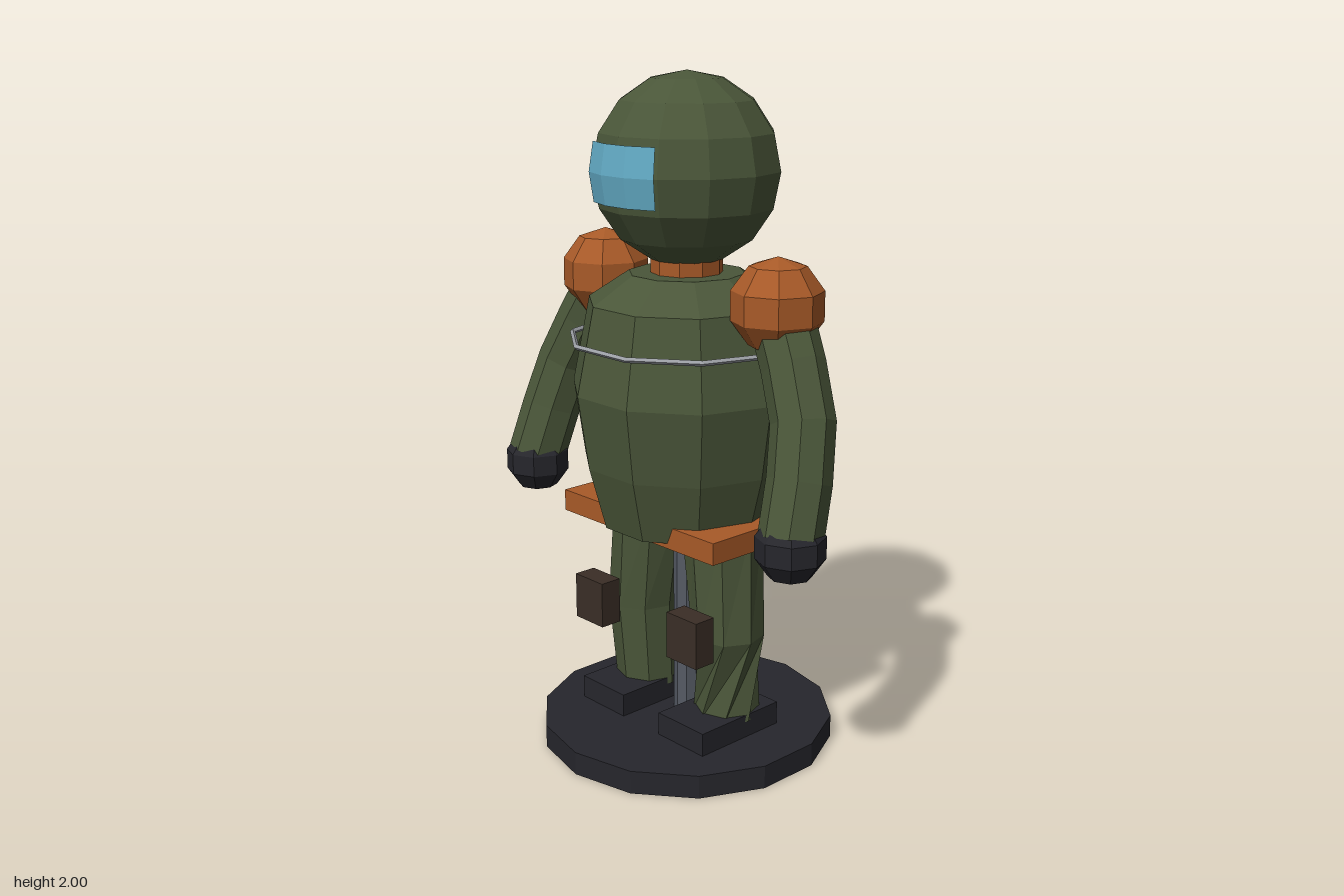
import * as THREE from 'three';

const paint = (color) => new THREE.MeshStandardMaterial({ color, flatShading: true });

export function createModel() {
  const model = new THREE.Group();
  const green = paint(0x4a5639);
  const orange = paint(0xa85a28);
  const dark = paint(0x26262c);
  const steel = paint(0x555a64);
  const silver = paint(0x9a9da3);
  const brown = paint(0x3a2e26);
  const blue = paint(0x62aac4);
  blue.side = THREE.DoubleSide;

  const add = (name, geometry, material, x = 0, y = 0, z = 0) => {
    const mesh = new THREE.Mesh(geometry, material);
    mesh.name = name;
    mesh.position.set(x, y, z);
    model.add(mesh);
    return mesh;
  };

  // Display stand
  add('standBase', new THREE.CylinderGeometry(0.445, 0.445, 0.07, 14), dark, 0, 0.035, 0);
  add('standPole', new THREE.CylinderGeometry(0.04, 0.04, 0.68, 8), steel, 0, 0.41, 0);

  // Ten-sided torso, closed at both ends
  const profile = [[0, 0.695], [0.26, 0.695], [0.31, 0.88], [0.342, 1.1],
    [0.29, 1.355], [0.17, 1.435], [0, 1.435]].map(([r, y]) => new THREE.Vector2(r, y));
  add('torso', new THREE.LatheGeometry(profile, 10, Math.PI / 10), green);
  add('belt', new THREE.BoxGeometry(0.65, 0.065, 0.41), orange, 0, 0.712, 0);
  add('chestRing', new THREE.TorusGeometry(0.342, 0.008, 4, 10).rotateX(Math.PI / 2), silver, 0, 1.245, 0);

  // Neck, helmet and curved visor
  add('neck', new THREE.CylinderGeometry(0.105, 0.105, 0.12, 10), orange, 0, 1.44, 0);
  add('helmet', new THREE.SphereGeometry(0.273, 12, 8), green, 0, 1.727, 0);
  const sweep = 0.5, rise = 0.305;
  add('visor', new THREE.SphereGeometry(0.281, 2, 2, Math.PI / 2 - sweep, 2 * sweep,
    Math.PI / 2 - rise, 2 * rise), blue, 0, 1.727, 0);

  // Leg rings from hip to ankle: centre x, y, z, radius, twist
  const legRings = [[0.15, 0.72, 0, 0.12, 0], [0.188, 0.38, 0.01, 0.108, 0.1], [0.175, 0.12, 0, 0.1, 0.85]];
  const makeLeg = (side) => {
    const geometry = new THREE.CylinderGeometry(1, 1, 2, 8, 2);
    const p = geometry.attributes.position;
    for (let i = 0; i < p.count; i++) {
      const [cx, cy, cz, r, twist] = legRings[Math.round(1 - p.getY(i))];
      const len = Math.hypot(p.getX(i), p.getZ(i)) * r;
      const a = Math.atan2(p.getZ(i), p.getX(i)) + side * twist;
      p.setXYZ(i, side * cx + len * Math.cos(a), cy, cz + len * Math.sin(a));
    }
    geometry.computeVertexNormals();
    return geometry;
  };

  // Limbs, mirrored
  for (const [label, s] of [['left', 1], ['right', -1]]) {
    add(label + 'Shoulder', new THREE.SphereGeometry(0.135, 8, 5), orange, s * 0.36, 1.388, 0);
    const path = new THREE.CatmullRomCurve3([
      new THREE.Vector3(s * 0.36, 1.37, -0.01),
      new THREE.Vector3(s * 0.505, 1.09, 0.045),
      new THREE.Vector3(s * 0.55, 0.8, 0.135),
    ]);
    add(label + 'Arm', new THREE.TubeGeometry(path, 4, 0.09, 8), green);
    add(label + 'Hand', new THREE.SphereGeometry(0.102, 8, 5), dark, s * 0.55, 0.778, 0.135);

    add(label + 'Leg', makeLeg(s), green);
    add(label + 'Boot', new THREE.BoxGeometry(0.19, 0.07, 0.31), dark, s * 0.175, 0.105, 0.035);
    add(label + 'Pouch', new THREE.BoxGeometry(0.123, 0.14, 0.07), brown, s * 0.206, 0.42, 0.18);
  }
  return model;
}
